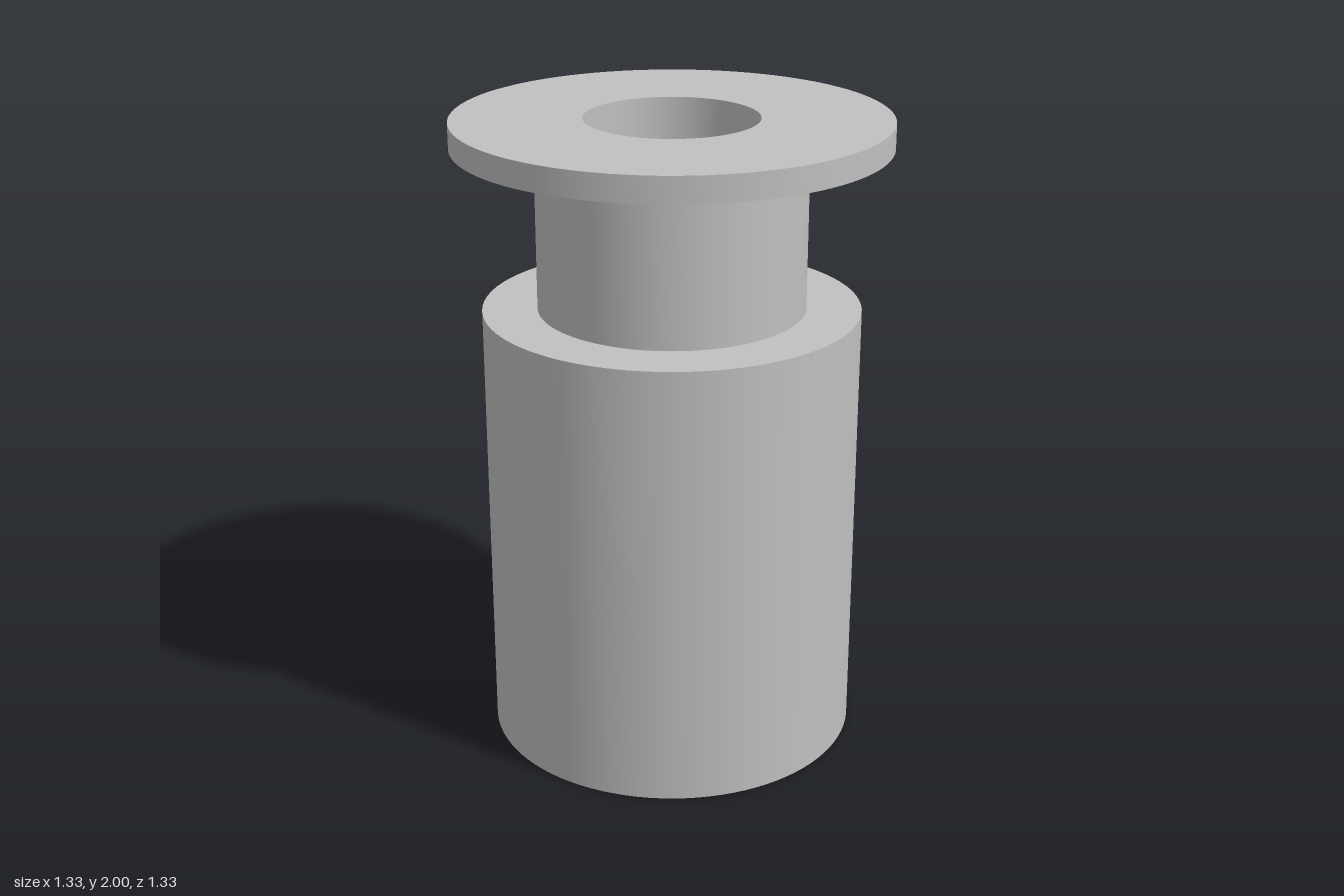
import * as THREE from 'three';
import { toCreasedNormals } from 'three/addons/utils/BufferGeometryUtils.js';

const SEGMENTS = 96;
const BORE = 0.267, BODY = 0.585, NECK = 0.415, FLANGE = 0.667;
const SHOULDER_Y = 1.41, FLANGE_Y = 1.92, TOP_Y = 2;

export function createModel() {
  const group = new THREE.Group();
  group.name = 'flangedBushing';
  const metal = new THREE.MeshStandardMaterial({ color: 0xc0c0c0 });
  metal.name = 'grey metal';

  // Revolve a [radius, height] profile, keeping its corners sharp
  const revolve = (name, profile) => {
    const points = profile.map(([r, y]) => new THREE.Vector2(r, y));
    const geometry = toCreasedNormals(new THREE.LatheGeometry(points, SEGMENTS), Math.PI / 6);
    const mesh = new THREE.Mesh(geometry, metal);
    mesh.name = name;
    group.add(mesh);
  };

  // Wide lower body: bottom ring, wall and shoulder
  revolve('body', [[BORE, 0], [BODY, 0], [BODY, SHOULDER_Y], [NECK, SHOULDER_Y]]);
  // Narrow neck between shoulder and flange
  revolve('neck', [[NECK, SHOULDER_Y], [NECK, FLANGE_Y]]);
  // Thin top flange: underside, rim and top ring
  revolve('flange', [[NECK, FLANGE_Y], [FLANGE, FLANGE_Y], [FLANGE, TOP_Y], [BORE, TOP_Y]]);
  // Through hole, running downward so its wall faces the axis
  revolve('bore', [[BORE, TOP_Y], [BORE, 0]]);

  return group;
}
